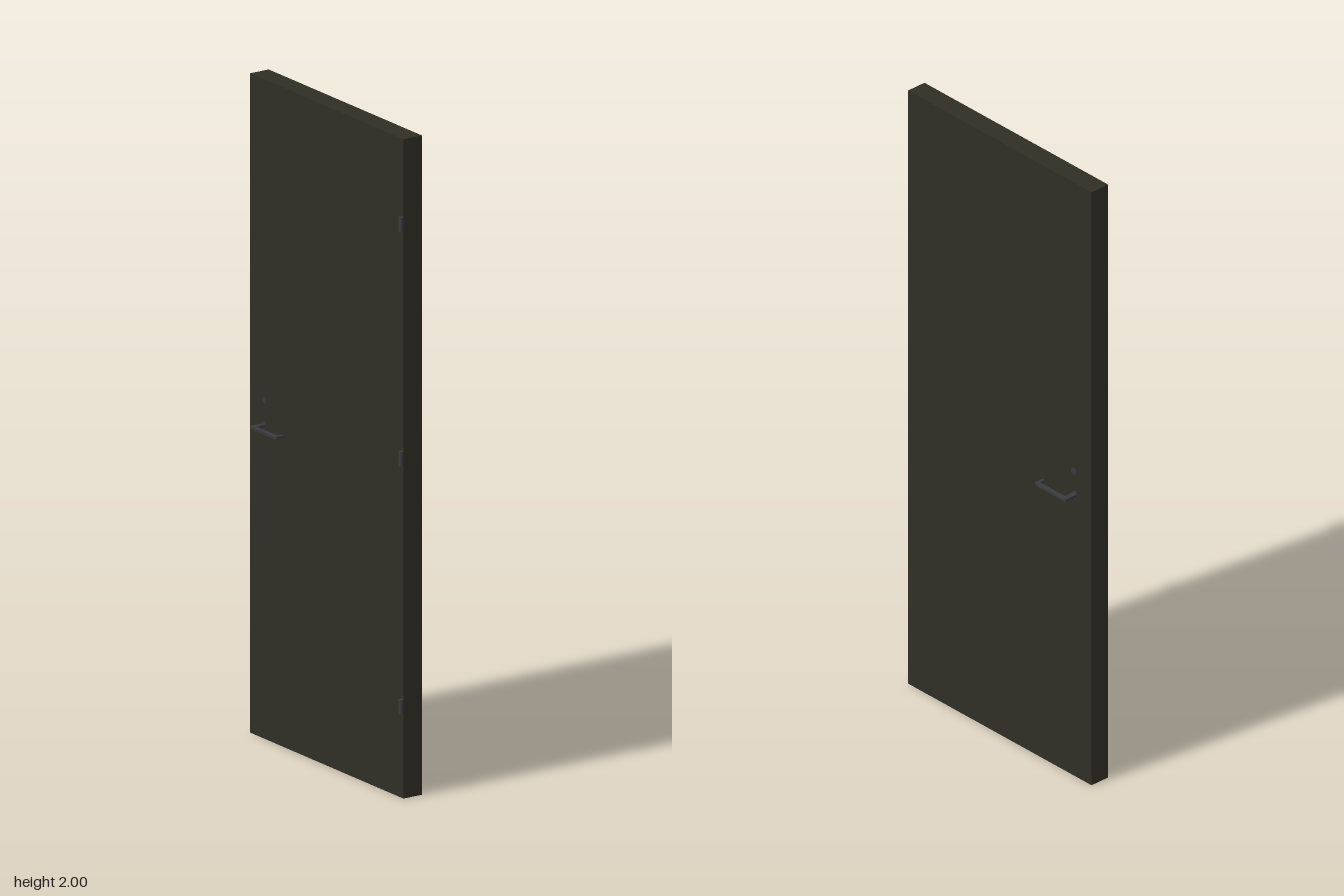
import * as THREE from 'three';

export function createModel() {
  const model = new THREE.Group();
  const paint = new THREE.MeshStandardMaterial({ color: 0x302f25 });
  paint.name = 'dark olive paint';
  const metal = new THREE.MeshStandardMaterial({ color: 0x3a3b3e });
  metal.name = 'dark metal';

  const add = (name, geometry, material, x, y, z) => {
    const mesh = new THREE.Mesh(geometry, material);
    mesh.name = name;
    mesh.position.set(x, y, z);
    model.add(mesh);
    return mesh;
  };

  // Door slab, from the latch edge (back) to the hinge edge (front)
  add('doorSlab', new THREE.BoxGeometry(0.065, 2, 0.784), paint, -0.0005, 1, -0.004);

  // Hinge knuckles on the right front corner
  for (const y of [0.28, 1.033, 1.743]) {
    add('hinge', new THREE.CylinderGeometry(0.0075, 0.0075, 0.044, 20), metal, -0.041, y, 0.388);
  }

  // Lever outline in plan: arm out of the door, long grip, short return
  const leverShape = (side) => {
    const s = new THREE.Shape();
    const p = (x, z) => [side * x, -z];
    s.moveTo(...p(0.03, -0.333));
    s.lineTo(...p(0.07, -0.333));
    s.quadraticCurveTo(...p(0.076, -0.333), ...p(0.076, -0.327));
    s.lineTo(...p(0.076, -0.206));
    s.quadraticCurveTo(...p(0.076, -0.201), ...p(0.071, -0.201));
    s.lineTo(...p(0.046, -0.201));
    s.lineTo(...p(0.046, -0.21));
    s.lineTo(...p(0.065, -0.21));
    s.lineTo(...p(0.065, -0.318));
    s.lineTo(...p(0.03, -0.318));
    s.closePath();
    return s;
  };

  for (const side of [1, -1]) {
    const lever = add('leverHandle', new THREE.ExtrudeGeometry(leverShape(side), {
      depth: 0.007, bevelEnabled: true, bevelThickness: 0.0015, bevelSize: 0.001,
      bevelSegments: 2, curveSegments: 8,
    }), metal, 0, 0.946, 0);
    lever.rotation.x = -Math.PI / 2;

    // Round collar behind the lever and lock cylinder above it
    const collar = add('handleCollar', new THREE.CylinderGeometry(0.0115, 0.0115, 0.008, 24),
      metal, side * 0.032, 0.95, -0.3255);
    collar.rotation.z = Math.PI / 2;
    const lock = add('lockCylinder', new THREE.CylinderGeometry(0.0105, 0.0105, 0.008, 24),
      metal, side * 0.031, 1.027, -0.3225);
    lock.rotation.z = Math.PI / 2;
  }
  return model;
}
